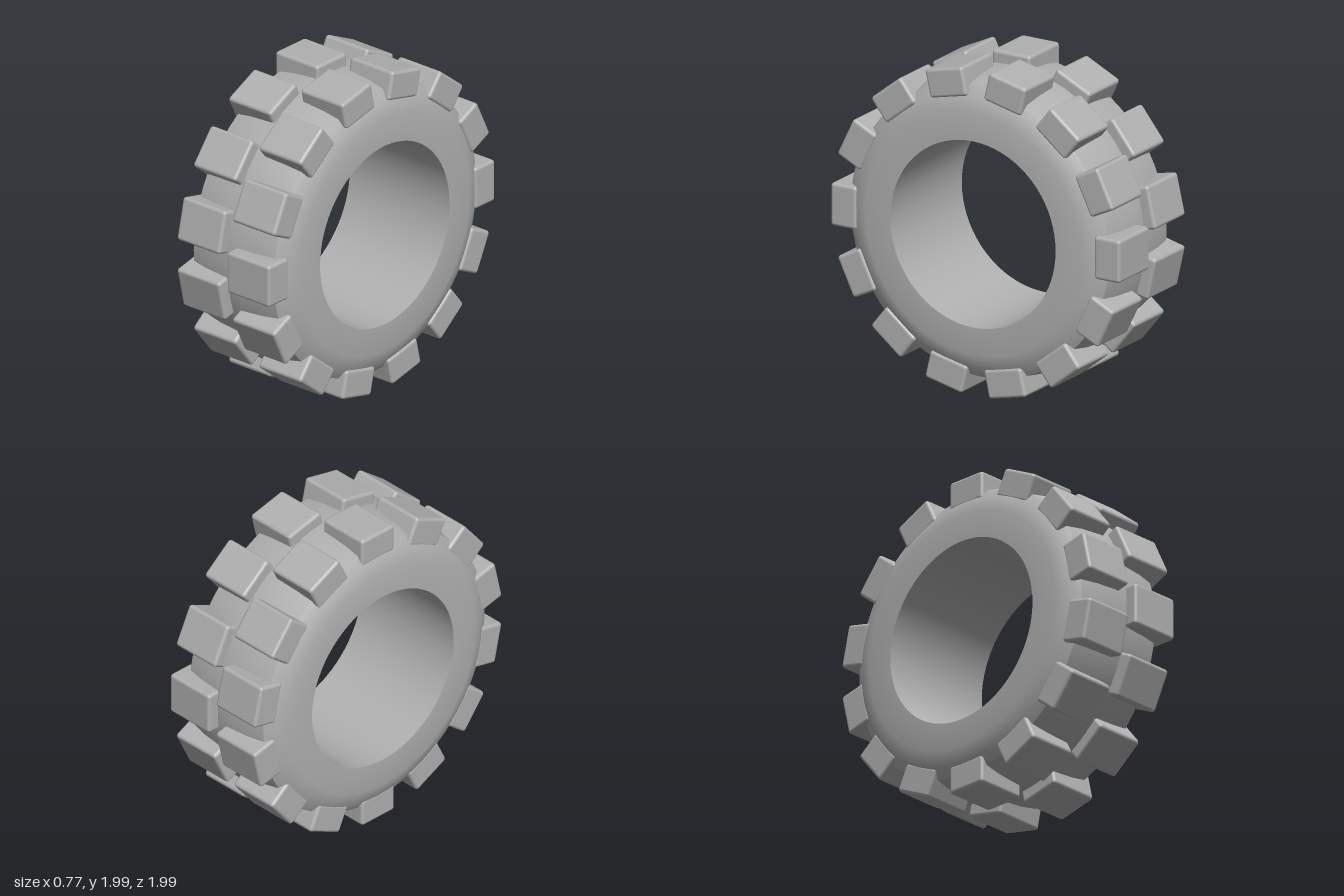
import * as THREE from 'three';
import { RoundedBoxGeometry } from 'three/addons/geometries/RoundedBoxGeometry.js';

const rubber = new THREE.MeshStandardMaterial({ color: 0xb0b0b0 });
rubber.name = 'grey rubber';

// Surface of revolution about the x axis; points are [radius, x]
function ring(name, points) {
  const geometry = new THREE.LatheGeometry(points.map(([r, x]) => new THREE.Vector2(r, x)), 72);
  geometry.rotateZ(-Math.PI / 2);
  const mesh = new THREE.Mesh(geometry, rubber);
  mesh.name = name;
  return mesh;
}

// One row of chunky tread blocks spaced around the tyre
function blockRow(name, x, offset) {
  const row = new THREE.Group();
  row.name = name;
  const count = 14, inner = 0.82, outer = 0.996;
  const geometry = new RoundedBoxGeometry(0.33, outer - inner, 0.262, 3, 0.02);
  geometry.translate(x, (inner + outer) / 2, 0);
  for (let i = 0; i < count; i++) {
    const block = new THREE.Mesh(geometry, rubber);
    block.name = 'treadBlock';
    block.rotation.x = ((i + offset) / count) * Math.PI * 2;
    row.add(block);
  }
  return row;
}

export function createModel() {
  const tyre = new THREE.Group();
  tyre.name = 'tyre';

  // Carcass: crowned tread band, bulging sidewalls and straight bore
  const side = [[0.57, 0.385], [0.74, 0.385], [0.83, 0.352], [0.89, 0.31]];
  tyre.add(
    ring('treadBand', [[0.89, -0.31], [0.912, -0.2], [0.925, -0.06], [0.925, 0.06], [0.912, 0.2], [0.89, 0.31]]),
    ring('leftSidewall', side.slice().reverse()),
    ring('rightSidewall', side.map(([r, x]) => [r, -x])),
    ring('bore', [[0.57, 0.385], [0.57, -0.385]])
  );

  // Two staggered rows of blocks
  tyre.add(blockRow('leftBlocks', 0.2, 0.5), blockRow('rightBlocks', -0.185, 0));

  tyre.position.y = 1;
  const model = new THREE.Group();
  model.name = 'model';
  model.add(tyre);
  return model;
}
